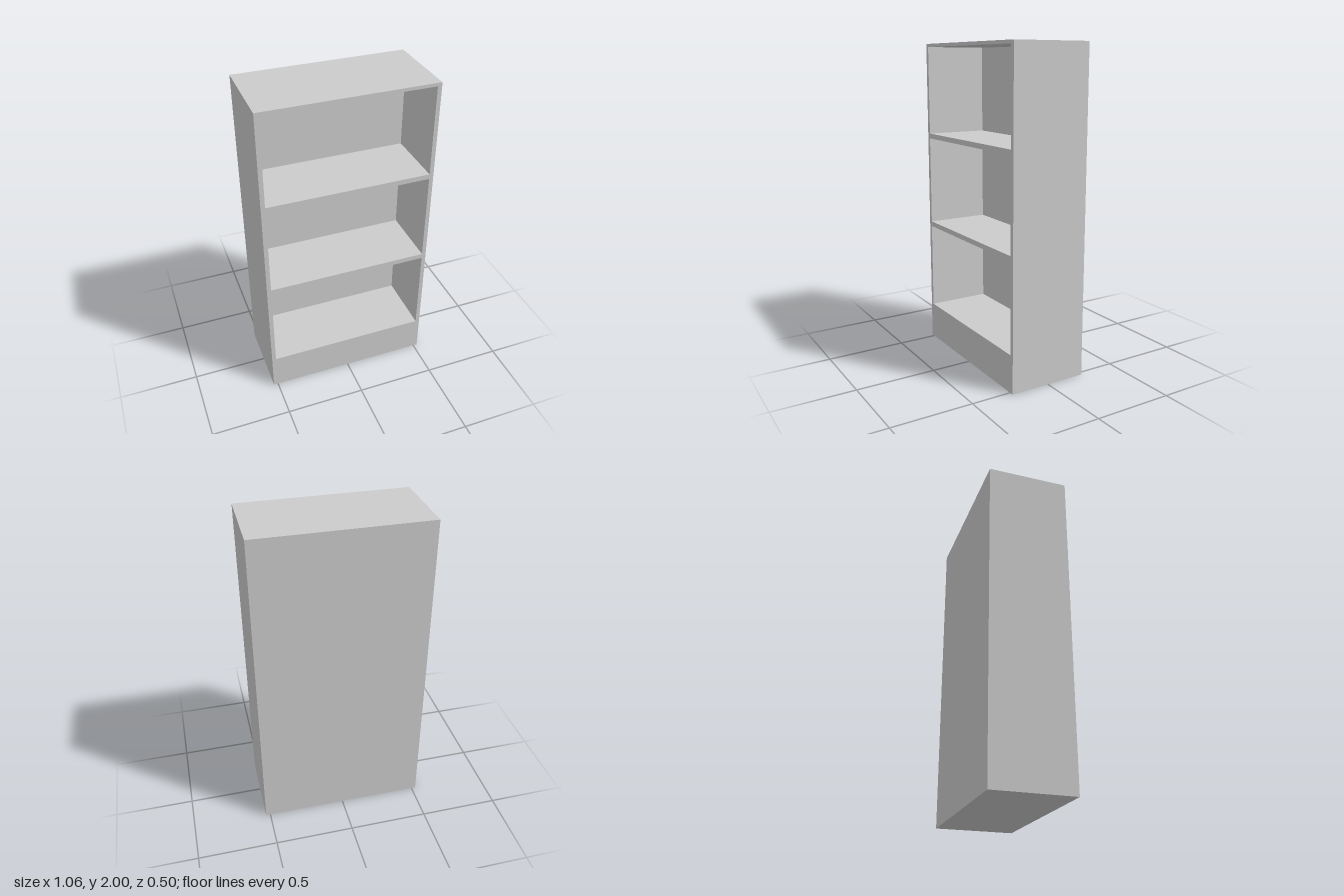
import * as THREE from 'three';

const WIDTH = 1.056, HEIGHT = 2, DEPTH = 0.5;
const BACK = 0.1; // back panel thickness
const BAY_HALF_WIDTH = 0.502;
const BAYS = [[0.235, 0.793], [0.825, 1.39], [1.422, 1.98]]; // bottom, top of each bay

function rectangle(target, x0, y0, x1, y1) {
  target.moveTo(x0, y0);
  target.lineTo(x1, y0);
  target.lineTo(x1, y1);
  target.lineTo(x0, y1);
  target.closePath();
  return target;
}

export function createModel() {
  const group = new THREE.Group();
  group.name = 'bookcase';
  const material = new THREE.MeshStandardMaterial({ color: 0xcccccc, flatShading: true });

  const add = (name, geometry, y, z) => {
    const mesh = new THREE.Mesh(geometry, material);
    mesh.name = name;
    mesh.position.set(0, y, z);
    group.add(mesh);
  };

  // Sides, top, shelves and plinth as one frame with an opening for each bay
  const outline = rectangle(new THREE.Shape(), -WIDTH / 2, 0, WIDTH / 2, HEIGHT);
  for (const [bottom, top] of BAYS) {
    outline.holes.push(rectangle(new THREE.Path(), -BAY_HALF_WIDTH, bottom, BAY_HALF_WIDTH, top));
  }
  const frame = new THREE.ExtrudeGeometry(outline, { depth: DEPTH - BACK, bevelEnabled: false });
  add('shelfFrame', frame, 0, -DEPTH / 2 + BACK);

  // Solid back closing the bays
  add('backPanel', new THREE.BoxGeometry(WIDTH, HEIGHT, BACK), HEIGHT / 2, -DEPTH / 2 + BACK / 2);

  return group;
}
